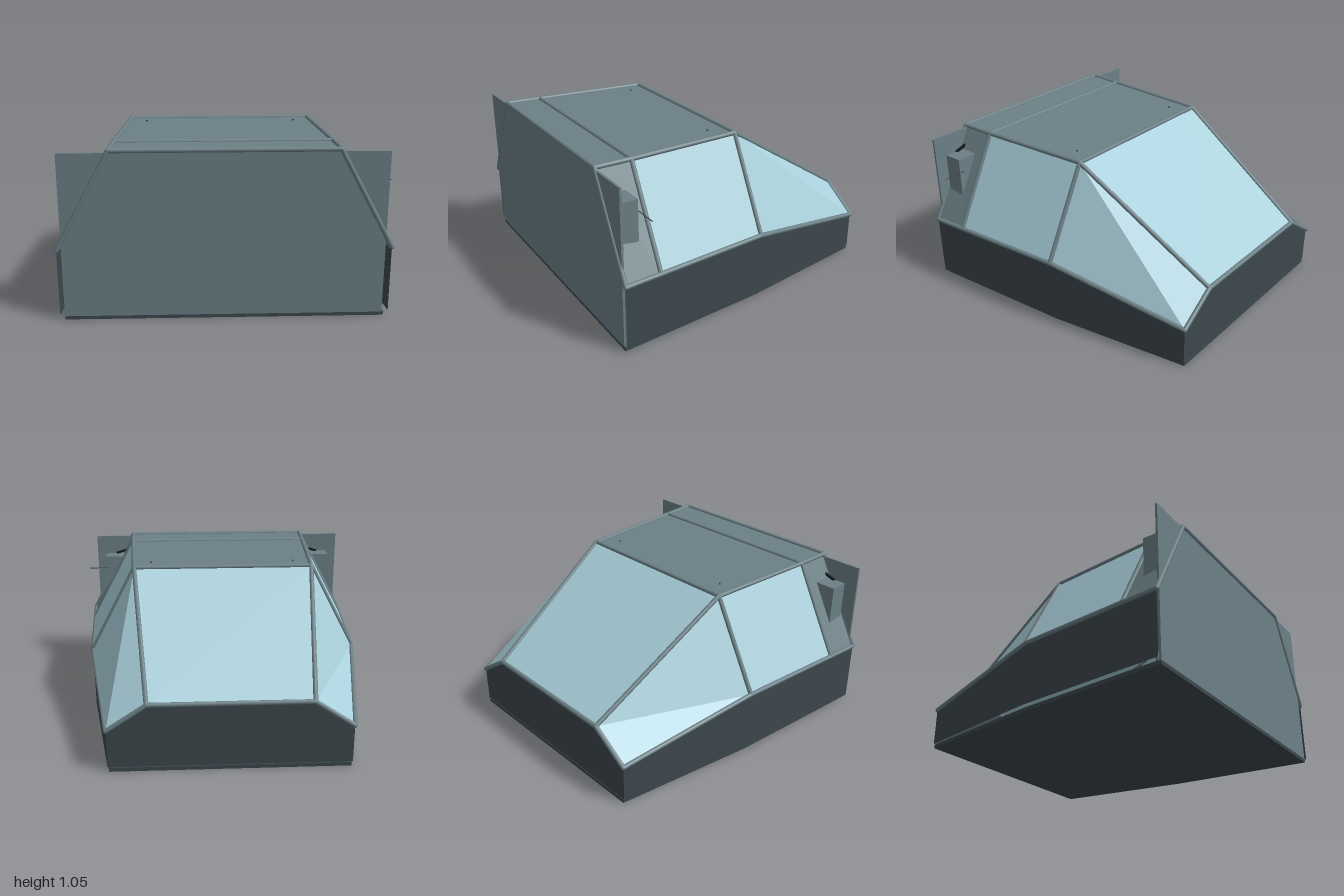
import * as THREE from 'three';

const paint = (color, side = THREE.DoubleSide) =>
  new THREE.MeshStandardMaterial({ color, side });
const grey = paint(0x6b8086);
const dark = paint(0x3c474c);
const glass = paint(0xa8ced9);
const black = paint(0x15191b);

// Cross-section stations, front to back: roof edge and waist edge
const stations = [
  { z: 0.955, rx: 0.66, ry: 1.035, wx: 0.983, wy: 0.44 },
  { z: 0.72, rx: 0.65, ry: 1.03, wx: 0.965, wy: 0.44 },
  { z: -0.035, rx: 0.6, ry: 1.02, wx: 0.905, wy: 0.44 },
  { z: -0.957, rx: 0.5, ry: 0.435, wx: 0.745, wy: 0.272 },
];
const WALL_BOTTOM = 0.03;
const roofAt = (s, side) => new THREE.Vector3(side * s.rx, s.ry, s.z);
const waistAt = (s, side) => new THREE.Vector3(side * s.wx, s.wy, s.z);
const baseAt = (s, side) => new THREE.Vector3(side * s.wx, WALL_BOTTOM, s.z);

export function createModel() {
  const model = new THREE.Group();

  const add = (name, geometry, material, x = 0, y = 0, z = 0) => {
    const mesh = new THREE.Mesh(geometry, material);
    mesh.name = name;
    mesh.position.set(x, y, z);
    model.add(mesh);
    return mesh;
  };

  // Flat panel: a fan of triangles from the first corner
  const panel = (name, corners, material) => {
    const points = [];
    for (let i = 1; i < corners.length - 1; i++) {
      points.push(corners[0], corners[i], corners[i + 1]);
    }
    const geometry = new THREE.BufferGeometry().setFromPoints(points);
    geometry.computeVertexNormals();
    add(name, geometry, material);
  };

  // Round frame bar between two points, with rounded joints
  const bar = (name, a, b, radius = 0.015) => {
    const length = a.distanceTo(b);
    const mesh = add(name, new THREE.CapsuleGeometry(radius, length, 3, 10), grey);
    mesh.position.copy(a).add(b).multiplyScalar(0.5);
    mesh.quaternion.setFromUnitVectors(
      new THREE.Vector3(0, 1, 0), b.clone().sub(a).normalize());
  };

  // Skin and lengthwise bars, bay by bay
  const bays = [
    { roof: grey, side: grey, roofName: 'frontRoof', sideName: 'frontSidePanel' },
    { roof: grey, side: glass, roofName: 'roof', sideName: 'sideWindow' },
    { roof: glass, side: glass, roofName: 'windshield', sideName: 'quarterWindow' },
  ];
  bays.forEach((bay, i) => {
    const a = stations[i], b = stations[i + 1];
    panel(bay.roofName,
      [roofAt(a, -1), roofAt(a, 1), roofAt(b, 1), roofAt(b, -1)], bay.roof);
    for (const s of [1, -1]) {
      const upper = [roofAt(a, s), waistAt(a, s), waistAt(b, s), roofAt(b, s)];
      const lower = [waistAt(a, s), baseAt(a, s), baseAt(b, s), waistAt(b, s)];
      if (s < 0) {
        upper.reverse();
        lower.reverse();
      }
      panel(bay.sideName, upper, bay.side);
      panel('lowerWall', lower, dark);
      bar('roofRail', roofAt(a, s), roofAt(b, s));
      bar('waistRail', waistAt(a, s), waistAt(b, s));
    }
  });

  // Arches across each station
  for (const st of stations) {
    bar('archTop', roofAt(st, -1), roofAt(st, 1));
    for (const s of [1, -1]) bar('archPost', roofAt(st, s), waistAt(st, s));
  }

  // Back wall under the windshield
  const back = stations[3];
  panel('backWall', [
    baseAt(back, 1), baseAt(back, -1), waistAt(back, -1),
    roofAt(back, -1), roofAt(back, 1), waistAt(back, 1),
  ], dark);

  // Floor slab, inset from the walls
  const inset = 0.028;
  const outline = [
    ...stations.map((s) => new THREE.Vector2(s.wx - inset, -s.z)),
    ...stations.map((s) => new THREE.Vector2(inset - s.wx, -s.z)).reverse(),
  ];
  outline[3].x += 0.02;
  outline[4].x -= 0.02;
  const floor = new THREE.ExtrudeGeometry(new THREE.Shape(outline),
    { depth: 0.025, bevelEnabled: false });
  floor.rotateX(-Math.PI / 2);
  add('floor', floor, dark);

  // Rectangular bulkhead closing the front
  add('frontBulkhead', new THREE.BoxGeometry(1.9, 1.0, 0.014), grey, -0.005, 0.522, 0.95);

  for (const s of [1, -1]) {
    // Side box with a small lever on top
    add('sideBox', new THREE.BoxGeometry(0.14, 0.26, 0.125), grey, s * 0.8, 0.76, 0.867);
    const lever = add('lever', new THREE.BoxGeometry(0.085, 0.016, 0.014), black,
      s * 0.755, 0.905, 0.917);
    lever.rotation.z = -s * 0.3;

    // Roof studs
    add('roofStud', new THREE.CylinderGeometry(0.006, 0.006, 0.008, 8), dark,
      s * 0.49, 1.026, 0.09);
  }

  // Thin rod beside the side box
  const rod = add('rod', new THREE.CylinderGeometry(0.003, 0.003, 0.15, 6), dark,
    0.922, 0.805, 0.79);
  rod.rotation.z = Math.PI / 2;

  return model;
}
